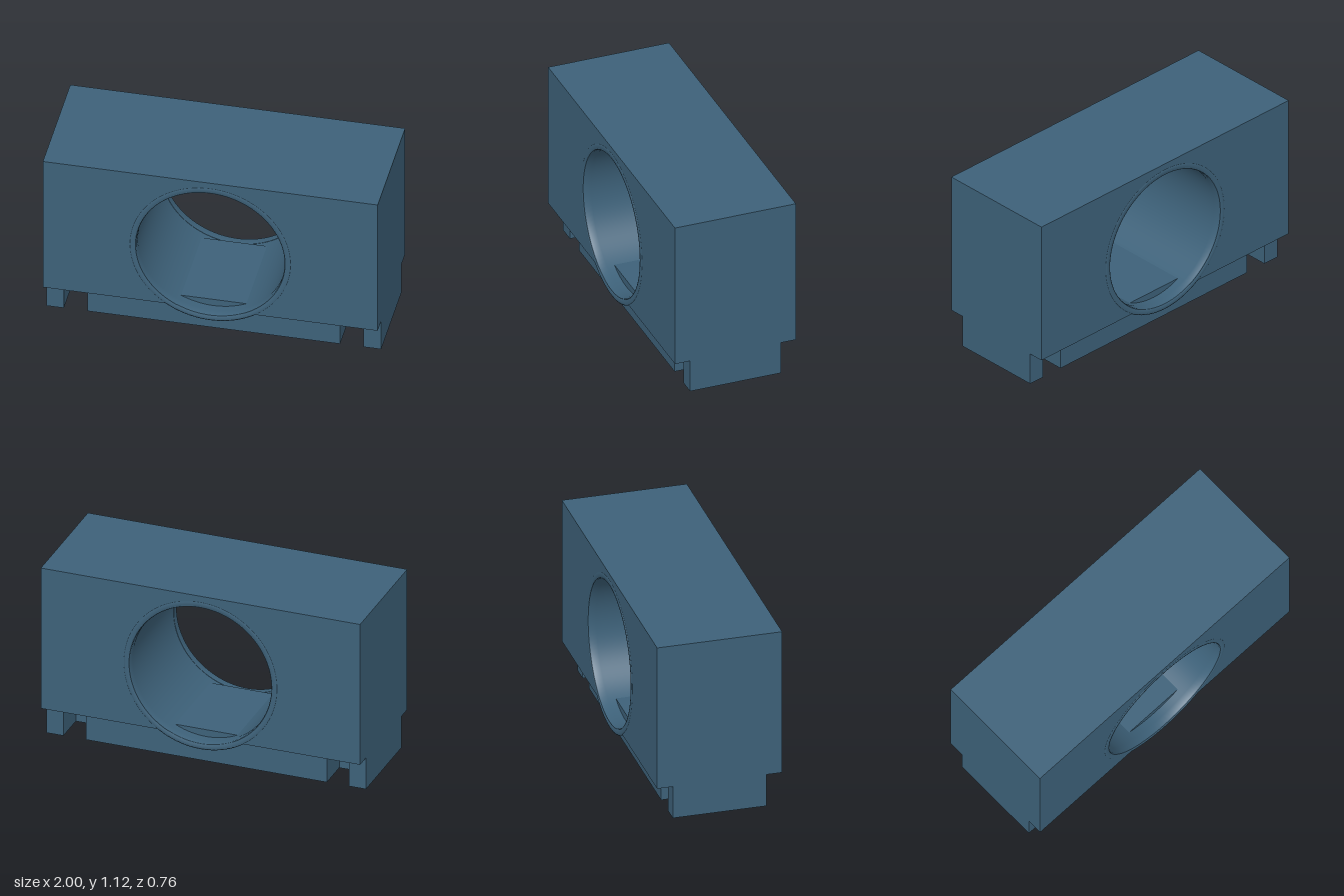
import * as THREE from 'three';

const HALF_DEPTH = 0.38;
const BASE_TOP = 0.205;
const BORE_Y = 0.605;
const BORE_R = 0.447;

export function createModel() {
  const group = new THREE.Group();
  const blue = new THREE.MeshStandardMaterial({ color: 0x3d6179 });
  blue.name = 'slate blue';
  blue.side = THREE.DoubleSide;

  const add = (name, geometry) => {
    const mesh = new THREE.Mesh(geometry, blue);
    mesh.name = name;
    group.add(mesh);
    return mesh;
  };

  // Block with a round bore that breaks out through its underside
  const drop = BORE_Y - BASE_TOP;
  const chord = Math.sqrt(BORE_R ** 2 - drop ** 2);
  const start = Math.atan2(-drop, chord);
  const outline = new THREE.Shape();
  outline.moveTo(-1, BASE_TOP);
  outline.lineTo(-chord, BASE_TOP);
  outline.absarc(0, BORE_Y, BORE_R, Math.PI - start, start, true);
  outline.lineTo(1, BASE_TOP);
  outline.lineTo(1, 1.125);
  outline.lineTo(-1, 1.125);
  outline.closePath();
  const block = new THREE.ExtrudeGeometry(outline, {
    depth: HALF_DEPTH * 2, bevelEnabled: false, curveSegments: 64,
  });
  block.translate(0, 0, -HALF_DEPTH);
  add('block', block);

  // Base plate with a notch near each corner
  const quarter = [[1, 0.285], [0.895, 0.285], [0.895, 0.085], [0.755, 0.085], [0.755, 0.285]];
  const mirrored = [...quarter].reverse();
  const points = [
    ...quarter,
    ...mirrored.map(([x, z]) => [-x, z]),
    ...quarter.map(([x, z]) => [-x, -z]),
    ...mirrored.map(([x, z]) => [x, -z]),
  ].map(([x, z]) => new THREE.Vector2(x, z));
  const base = new THREE.ExtrudeGeometry(new THREE.Shape(points), {
    depth: BASE_TOP, bevelEnabled: false,
  });
  base.rotateX(Math.PI / 2);
  base.translate(0, BASE_TOP, 0);
  add('basePlate', base);

  // Thin smooth lining of the bore
  const lining = new THREE.CylinderGeometry(0.445, 0.445, HALF_DEPTH * 2, 96, 1, true);
  lining.rotateX(Math.PI / 2);
  add('boreLining', lining).position.y = BORE_Y;

  // Rounded rim at each mouth of the bore
  const profile = [
    [0.443, 0.33], [0.475, 0.33], [0.483, 0.338], [0.483, 0.378],
    [0.475, 0.382], [0.455, 0.382], [0.443, 0.374], [0.443, 0.33],
  ].map(([r, z]) => new THREE.Vector2(r, z));
  for (const side of [1, -1]) {
    const rim = new THREE.LatheGeometry(profile, 96);
    rim.rotateX(side * Math.PI / 2);
    add(side > 0 ? 'frontRim' : 'backRim', rim).position.y = BORE_Y;
  }

  return group;
}
